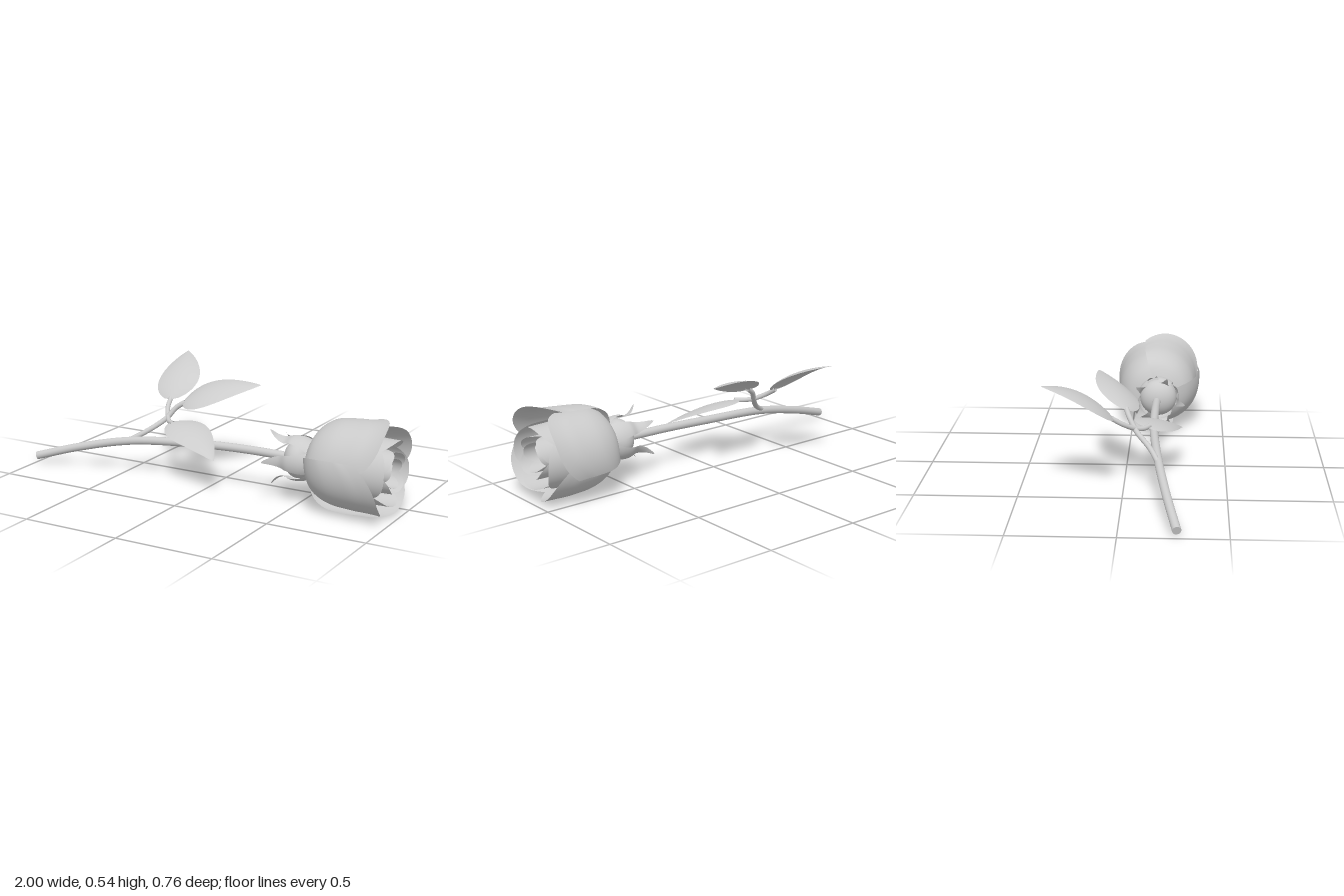
import * as THREE from 'three';
import { ParametricGeometry } from 'three/addons/geometries/ParametricGeometry.js';

const material = new THREE.MeshStandardMaterial({ color: 0xcccccc, side: THREE.DoubleSide });
const V = (x, y, z) => new THREE.Vector3(x, y, z);
const rad = THREE.MathUtils.degToRad;
const AXIS_Y = 0.213, AXIS_Z = 0.147; // bloom axis runs along x

function mesh(name, geometry, parent) {
  const m = new THREE.Mesh(geometry, material);
  m.name = name;
  parent.add(m);
  return m;
}

function tube(name, points, radius, parent) {
  const curve = new THREE.CatmullRomCurve3(points);
  mesh(name, new THREE.TubeGeometry(curve, 40, radius, 16), parent);
  return curve;
}

// Point around the bloom axis; angle is measured from +z towards +y
const polar = (x, r, a, target) =>
  target.set(x, AXIS_Y + r * Math.sin(a), AXIS_Z + r * Math.cos(a));

// Smooth curve through [position, radius] pairs
const profile = (pairs) =>
  new THREE.SplineCurve(pairs.map(([x, r]) => new THREE.Vector2(x, r)));

// Cupped petal: a sector of a bowl, spiralling outwards, with a rounded far edge
const cup = profile([[0, 0.1], [0.04, 0.46], [0.15, 0.78], [0.36, 0.97], [0.65, 1.02], [0.85, 1.01], [1, 1]]);
function petal(name, o, parent) {
  const p = new THREE.Vector2();
  mesh(name, new ParametricGeometry((u, v, target) => {
    const s = u * 2 - 1;
    cup.getPoint(v, p);
    const reach = o.length * (1 - o.round * Math.abs(s) ** 2.6);
    const flare = o.flare * p.x ** 5 * (1 - 0.5 * s * s);
    const r = o.radius * p.y * (1 + o.spiral * s) + flare;
    polar(o.start + reach * p.x, r, o.angle + s * o.half, target);
  }, 24, 28), parent);
}

// Pointed sepal hugging the calyx, then curling away from the stem
const curl = profile([[0.565, 0.09], [0.52, 0.108], [0.47, 0.112], [0.425, 0.1], [0.385, 0.113], [0.355, 0.145]]);
function sepal(angle, parent) {
  const p = new THREE.Vector2();
  mesh('sepal', new ParametricGeometry((u, v, target) => {
    curl.getPoint(v, p);
    const width = 0.058 * Math.pow(1 - v, 0.75);
    polar(p.x, p.y, angle + (u * 2 - 1) * width / p.y, target);
  }, 8, 24), parent);
}

// Leaf blade along an arched midrib, with a side vector for half its width
function leaf(name, base, bend, tip, side, parent) {
  const rib = new THREE.QuadraticBezierCurve3(base, bend, tip);
  const up = V(0, 0, 0).crossVectors(side, tip.clone().sub(base)).normalize();
  if (up.y < 0) up.negate();
  mesh(name, new ParametricGeometry((u, v, target) => {
    const s = u * 2 - 1;
    const w = Math.pow(Math.max(0, Math.sin(Math.PI * Math.pow(v, 0.72))), 0.85);
    rib.getPoint(v, target);
    target.addScaledVector(side, s * w).addScaledVector(up, -0.018 * s * s * w);
  }, 12, 28), parent);
}

export function createModel() {
  const model = new THREE.Group();
  model.name = 'rose';

  // Stem with a capped cut end
  const stem = tube('stem', [
    V(-0.995, 0.028, 0.265), V(-0.75, 0.1, 0.215), V(-0.45, 0.165, 0.17),
    V(-0.05, 0.197, 0.138), V(0.2, 0.207, 0.136), V(0.45, 0.208, 0.14),
  ], 0.021, model);
  const cap = mesh('stemCap', new THREE.CircleGeometry(0.021, 16), model);
  cap.position.copy(stem.getPoint(0));
  cap.lookAt(cap.position.clone().sub(stem.getTangent(0)));

  // Calyx and sepals
  const calyx = mesh('calyx', new THREE.SphereGeometry(1, 32, 24), model);
  calyx.scale.set(0.075, 0.098, 0.098);
  calyx.position.set(0.493, AXIS_Y, AXIS_Z);
  const sepals = new THREE.Group();
  sepals.name = 'sepals';
  for (let i = 0; i < 5; i++) sepal(rad(70 + i * 72), sepals);
  model.add(sepals);

  // Four large outer petals
  const bloom = new THREE.Group();
  bloom.name = 'bloom';
  [0.012, 0.036, 0.022, 0.0].forEach((flare, i) => petal('outerPetal', {
    angle: rad(-33 + i * 90), half: rad(53), start: 0.545, length: 0.432,
    radius: 0.207, spiral: 0.07, round: 0.26, flare,
  }, bloom));

  // Tighter inner rings of petals
  const rings = [
    { count: 4, radius: 0.154, length: 0.425, turn: 10, half: 52 },
    { count: 4, radius: 0.1, length: 0.43, turn: 50, half: 52 },
    { count: 3, radius: 0.069, length: 0.425, turn: 25, half: 68 },
  ];
  for (const ring of rings) {
    for (let i = 0; i < ring.count; i++) {
      petal('innerPetal', {
        angle: rad(ring.turn + i * 360 / ring.count), half: rad(ring.half),
        start: 0.565, length: ring.length, radius: ring.radius,
        spiral: 0.05, round: 0.16, flare: 0,
      }, bloom);
    }
  }
  model.add(bloom);

  // Leaf stalks: one from the stem, one crossing it
  const sprig = new THREE.Group();
  sprig.name = 'leafSprig';
  tube('mainStalk', [
    V(-0.48, 0.163, 0.172), V(-0.4, 0.21, 0.13), V(-0.32, 0.275, 0.058),
    V(-0.28, 0.33, 0.025), V(-0.235, 0.36, 0.008),
  ], 0.013, sprig);
  tube('crossStalk', [
    V(-0.365, 0.35, -0.06), V(-0.35, 0.315, -0.005), V(-0.312, 0.283, 0.055),
    V(-0.28, 0.274, 0.095), V(-0.24, 0.275, 0.122),
  ], 0.012, sprig);

  // Three leaves
  leaf('backLeaf', V(-0.36, 0.345, -0.045), V(-0.37, 0.49, -0.17), V(-0.455, 0.527, -0.385),
    V(0.107, 0.012, -0.025), sprig);
  leaf('upperLeaf', V(-0.25, 0.355, 0.015), V(-0.12, 0.46, -0.03), V(0.12, 0.46, -0.145),
    V(0.035, -0.04, 0.095), sprig);
  leaf('lowerLeaf', V(-0.265, 0.275, 0.108), V(-0.1, 0.295, 0.15), V(0.09, 0.17, 0.28),
    V(0.045, 0.02, -0.092), sprig);
  model.add(sprig);

  return model;
}
